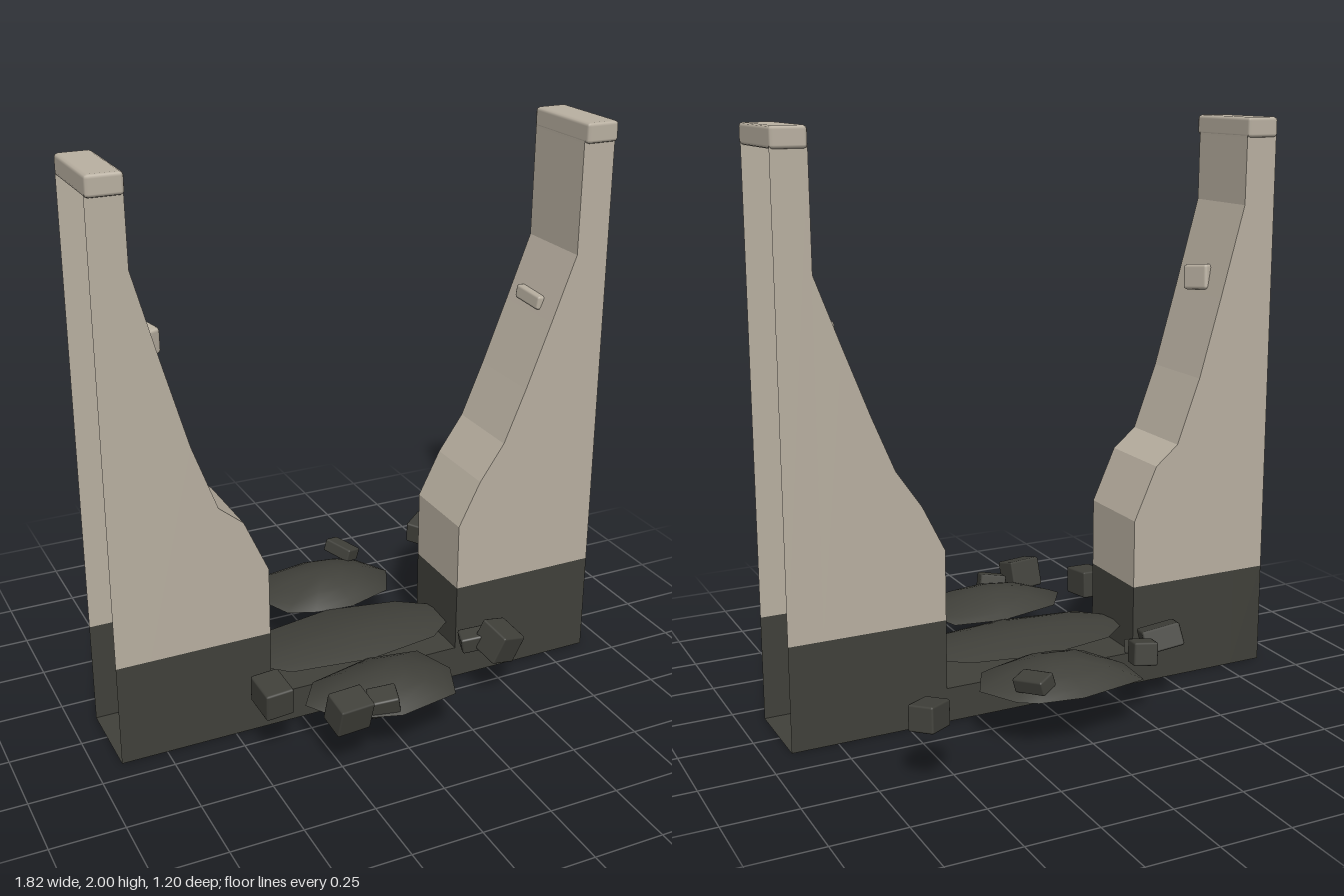
import * as THREE from 'three';
import { RoundedBoxGeometry } from 'three/addons/geometries/RoundedBoxGeometry.js';

const Z0 = -0.13, Z1 = 0.17, END = 0.91, INNER = 0.79, SPLIT = 0.365;

export function createModel() {
  const root = new THREE.Group();
  root.name = 'brokenWall';
  const mat = (name, color, side = THREE.FrontSide) => {
    const m = new THREE.MeshStandardMaterial({ color, side });
    m.name = name;
    return m;
  };
  const plaster = mat('paleStone', 0xb9b0a1, THREE.DoubleSide);
  const dark = mat('darkStone', 0x40403a, THREE.DoubleSide);

  const add = (name, geo, material, pos = [0, 0, 0], rot = [0, 0, 0]) => {
    const mesh = new THREE.Mesh(geo, material);
    mesh.name = name;
    mesh.position.set(...pos);
    mesh.rotation.set(...rot);
    root.add(mesh);
    return mesh;
  };

  // Solid slab cut from a front profile
  const slab = (name, pts, material) => {
    const shape = new THREE.Shape(pts.map(p => new THREE.Vector2(...p)));
    const geo = new THREE.ExtrudeGeometry(shape, { depth: Z1 - Z0, bevelEnabled: false });
    add(name, geo, material, [0, 0, Z0]);
  };

  // Dark base with the lowered middle
  slab('base', [[-INNER, 0], [INNER, 0], [INNER, SPLIT], [0.36, SPLIT], [0.36, 0.12],
    [-0.365, 0.12], [-0.365, SPLIT], [-INNER, SPLIT]], dark);

  // Broken pale walls
  slab('leftWall', [[INNER, SPLIT], [INNER, 1.93], [0.788, 1.55], [0.7, 1.32], [0.61, 1.09],
    [0.53, 0.9], [0.44, 0.77], [0.36, 0.61], [0.36, SPLIT]], plaster);
  slab('rightWall', [[-INNER, SPLIT], [-INNER, 1.93], [-0.788, 1.7], [-0.7, 1.38], [-0.62, 1.1],
    [-0.535, 0.87], [-0.45, 0.8], [-0.365, 0.61], [-0.365, SPLIT]], plaster);

  // Open channels at both ends, and their rounded caps
  const depth = END - INNER, midX = (END + INNER) / 2, midZ = (Z0 + Z1) / 2;
  for (const s of [1, -1]) {
    for (const [y0, y1, m] of [[0, SPLIT, dark], [SPLIT, 1.94, plaster]]) {
      const h = y1 - y0, y = (y0 + y1) / 2;
      add('channelFront', new THREE.PlaneGeometry(depth, h), m, [s * midX, y, Z1]);
      add('channelBack', new THREE.PlaneGeometry(depth, h), m, [s * midX, y, Z0], [0, Math.PI, 0]);
      // Solid wall behind the channel, reaching up to the cap
      add('channelInner', new THREE.PlaneGeometry(Z1 - Z0, h), m,
        [s * (INNER + 0.002), y, midZ], [0, s * Math.PI / 2, 0]);
    }
    add('channelFloor', new THREE.PlaneGeometry(depth, Z1 - Z0), dark,
      [s * midX, 0, midZ], [Math.PI / 2, 0, 0]);
    add('cap', new RoundedBoxGeometry(0.12, 0.07, 0.33, 1, 0.012), plaster, [s * midX, 1.965, 0.025]);
  }

  // Loose stones still stuck in the broken edges
  add('leftStuckStone', new RoundedBoxGeometry(0.105, 0.05, 0.15, 1, 0.01), plaster,
    [0.75, 1.36, 0.005], [0.05, 0, -0.12]);
  add('rightStuckStone', new RoundedBoxGeometry(0.07, 0.09, 0.11, 1, 0.012), plaster,
    [-0.717, 1.435, 0.03], [0.1, 0.3, 0.05]);

  // Smooth low mound: rings shrinking from an outline towards the crown
  const mound = (name, outline, y0, height) => {
    const n = outline.length, pos = [], idx = [];
    const cx = outline.reduce((a, p) => a + p[0], 0) / n;
    const cz = outline.reduce((a, p) => a + p[1], 0) / n;
    const rings = [1, 0.85, 0.6, 0.3];
    for (const s of rings)
      for (const [x, z] of outline)
        pos.push(cx + (x - cx) * s, y0 + height * (1 - s * s), cz + (z - cz) * s);
    const crown = pos.length / 3;
    pos.push(cx, y0 + height, cz);
    for (let i = 0; i < n; i++) {
      const j = (i + 1) % n;
      for (let r = 0; r < rings.length - 1; r++) {
        const a = r * n + i, b = r * n + j;
        idx.push(b, a, a + n, b, a + n, b + n);
      }
      idx.push((rings.length - 1) * n + j, (rings.length - 1) * n + i, crown);
    }
    // Shallow underside with its own vertices
    const under = pos.length / 3;
    for (const [x, z] of outline) pos.push(x, y0, z);
    pos.push(cx, y0 - 0.012, cz);
    for (let i = 0; i < n; i++) idx.push(under + i, under + (i + 1) % n, under + n);
    const geo = new THREE.BufferGeometry();
    geo.setAttribute('position', new THREE.Float32BufferAttribute(pos, 3));
    geo.setIndex(idx);
    geo.computeVertexNormals();
    add(name, geo, dark);
  };
  mound('backMound', [[-0.19, -0.5], [0.06, -0.545], [0.21, -0.52], [0.27, -0.48], [0.34, -0.35],
    [0.27, -0.21], [0.1, -0.155], [-0.04, -0.17], [-0.14, -0.21], [-0.2, -0.35]], 0.19, 0.07);
  mound('frontMound', [[-0.33, 0.38], [-0.25, 0.26], [-0.01, 0.2], [0.17, 0.23], [0.22, 0.38],
    [0.16, 0.53], [-0.06, 0.57], [-0.25, 0.51]], 0.19, 0.065);
  mound('middleMound', [[-0.42, 0.01], [-0.27, -0.12], [0, -0.17], [0.26, -0.12], [0.42, -0.01],
    [0.37, 0.09], [0.27, 0.17], [0, 0.21], [-0.29, 0.17], [-0.37, 0.09]], 0.19, 0.035);

  // Scattered rubble: position, size, rotation
  const rubble = [
    [[-0.43, 0.235, 0.335], [0.1, 0.1, 0.13], [0.1, 0.05, 0.03]],
    [[-0.24, 0.235, 0.53], [0.125, 0.11, 0.1], [0.25, 0.1, -0.05]],
    [[-0.105, 0.222, 0.51], [0.1, 0.07, 0.08], [0.2, -0.25, 0.2]],
    [[0.43, 0.23, 0.35], [0.11, 0.11, 0.12], [0.25, 0.2, -0.35]],
    [[0.36, 0.22, 0.29], [0.09, 0.06, 0.07], [0.1, -0.3, 0.2]],
    [[0.595, 0.235, -0.535], [0.11, 0.085, 0.09], [0.1, 0.65, 0.05]],
    [[0.21, 0.25, -0.485], [0.07, 0.05, 0.12], [0.15, 0.45, -0.3]],
    [[-0.36, 0.25, -0.325], [0.135, 0.08, 0.11], [0.25, -0.35, -0.15]],
    [[-0.245, 0.24, -0.4], [0.085, 0.08, 0.075], [0.15, -0.2, 0.1]],
    [[-0.275, 0.215, -0.285], [0.05, 0.05, 0.05], [0.3, 0.6, 0.2]],
  ];
  for (const [p, size, r] of rubble)
    add('rubble', new RoundedBoxGeometry(...size, 1, 0.007), dark, p, r);

  return root;
}
